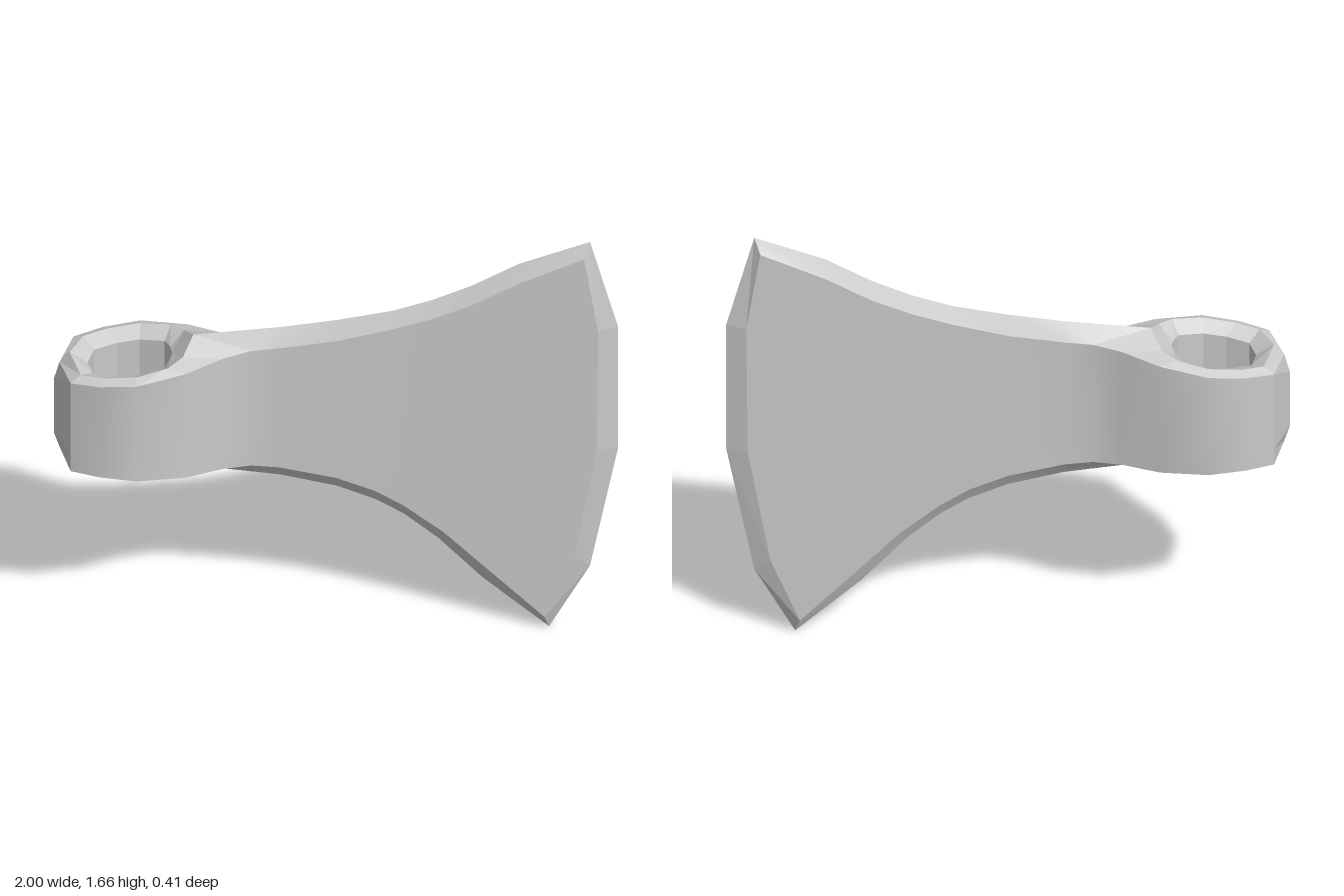
import * as THREE from 'three';

const V = (x, y, z = 0) => new THREE.Vector3(x, y, z);
const smooth = new THREE.MeshStandardMaterial({ color: 0xcccccc });
const flat = new THREE.MeshStandardMaterial({ color: 0xcccccc, flatShading: true });

// Surface through columns of points, each column running down the same number of rows
function sheet(columns, side) {
  const rows = columns[0].length;
  const pos = [], index = [];
  columns.forEach(col => col.forEach(p => pos.push(p.x, p.y, p.z * side)));
  for (let c = 0; c < columns.length - 1; c++) {
    for (let r = 0; r < rows - 1; r++) {
      const a = c * rows + r, b = a + 1, d = a + rows, e = d + 1;
      if (side > 0) index.push(a, b, d, b, e, d);
      else index.push(a, d, b, b, d, e);
    }
  }
  const geo = new THREE.BufferGeometry();
  geo.setAttribute('position', new THREE.Float32BufferAttribute(pos, 3));
  geo.setIndex(index);
  geo.computeVertexNormals();
  return geo;
}

// Pairs up several point lists into columns
const zip = (...lists) => lists[0].map((_, i) => lists.map(l => l[i]));

export function createModel() {
  const group = new THREE.Group();
  const add = (name, columns, material = smooth) => {
    for (const side of [1, -1]) {
      const mesh = new THREE.Mesh(sheet(columns, side), material);
      mesh.name = name + (side > 0 ? 'Front' : 'Back');
      group.add(mesh);
    }
  };

  // Half rings of the eye from poll to blade: x, z, top y, bottom y
  const outer = [
    [-0.98, 0, 1.10, 0.735], [-0.935, 0.145, 1.11, 0.73], [-0.83, 0.187, 1.125, 0.735],
    [-0.7, 0.205, 1.143, 0.733], [-0.53, 0.155, 1.165, 0.718], [-0.4, 0.08, 1.183, 0.707],
    [-0.3, 0.045, 1.195, 0.70]];
  const rim = [
    [-0.945, 0, 1.145, 0.69], [-0.9, 0.12, 1.13, 0.708], [-0.82, 0.153, 1.14, 0.715],
    [-0.7, 0.168, 1.157, 0.715], [-0.59, 0.135, 1.177, 0.71], [-0.54, 0.085, 1.19, 0.7],
    [-0.505, 0, 1.23, 0.665]];
  const inner = [
    [-0.88, 0, 1.10, 0.735], [-0.86, 0.072, 1.105, 0.735], [-0.78, 0.103, 1.115, 0.738],
    [-0.7, 0.113, 1.125, 0.738], [-0.61, 0.085, 1.14, 0.732], [-0.59, 0.045, 1.145, 0.73],
    [-0.58, 0, 1.15, 0.725]];
  const top = ring => ring.map(([x, z, y]) => V(x, y, z));
  const bottom = ring => ring.map(([x, z, , y]) => V(x, y, z));

  // Blade stations: thickness, then the ridges (z = 0) and shoulders above and below
  const half = [0.036, 0.032, 0.03, 0.03, 0.03, 0.03, 0.03];
  const path = (pts, thick) => pts.map(([x, y], i) => V(x, y, thick ? half[i] : 0));
  const ridgeTop = path([[-0.2, 1.27], [0, 1.305], [0.2, 1.35], [0.34, 1.4], [0.48, 1.465],
    [0.65, 1.565], [0.9, 1.665]]);
  const shoulderTop = path([[-0.2, 1.203], [0, 1.235], [0.2, 1.29], [0.34, 1.338], [0.48, 1.4],
    [0.65, 1.5], [0.88, 1.61]], true);
  const shoulderBottom = path([[-0.2, 0.688], [0, 0.645], [0.14, 0.59], [0.24, 0.53], [0.38, 0.42],
    [0.54, 0.26], [0.74, 0.06]], true);
  const ridgeBottom = path([[-0.2, 0.633], [0, 0.59], [0.14, 0.535], [0.24, 0.475], [0.36, 0.375],
    [0.52, 0.205], [0.755, 0]]);

  // Cutting edge, from the upper tip to the lower tip
  const edge = [[0.9, 1.665], [1, 1.3], [1, 0.78], [0.9, 0.265], [0.755, 0]].map(p => V(...p));
  const edgeShoulder = [[0.88, 1.61], [0.93, 1.3], [0.925, 0.78], [0.845, 0.32], [0.74, 0.06]]
    .map(([x, y]) => V(x, y, 0.03));

  // Cheeks: eye sides flowing into the flat of the blade
  const rows = [0, 0.2, 0.535, 0.832, 1];
  const column = (a, b) => rows.map(t => a.clone().lerp(b, t));
  const upper = [...top(outer), ...shoulderTop];
  const lower = [...bottom(outer), ...shoulderBottom];
  const columns = upper.map((p, i) => column(p, lower[i]));
  columns[columns.length - 1] = edgeShoulder;
  add('cheek', columns.slice(1));

  // Poll: slightly swollen back of the eye
  columns[0].slice(1, 4).forEach(p => { p.x = -1; });
  add('poll', columns.slice(0, 2), flat);

  // Rims of the eye and the hole for the handle
  add('upperRim', zip(top(rim), top(outer)), flat);
  add('upperEyeBevel', zip(top(inner), top(rim)), flat);
  add('lowerRim', zip(bottom(outer), bottom(rim)), flat);
  add('lowerEyeBevel', zip(bottom(rim), bottom(inner)), flat);
  add('eyeHole', zip(bottom(inner), top(inner)), flat);

  // Bevels along the top, bottom and cutting edge of the blade
  add('topBevel', zip([top(rim)[6], ...ridgeTop], [top(outer)[6], ...shoulderTop]));
  add('bottomBevel', zip([bottom(outer)[6], ...shoulderBottom], [bottom(rim)[6], ...ridgeBottom]));
  add('cuttingEdge', [edgeShoulder, edge], flat);

  return group;
}
